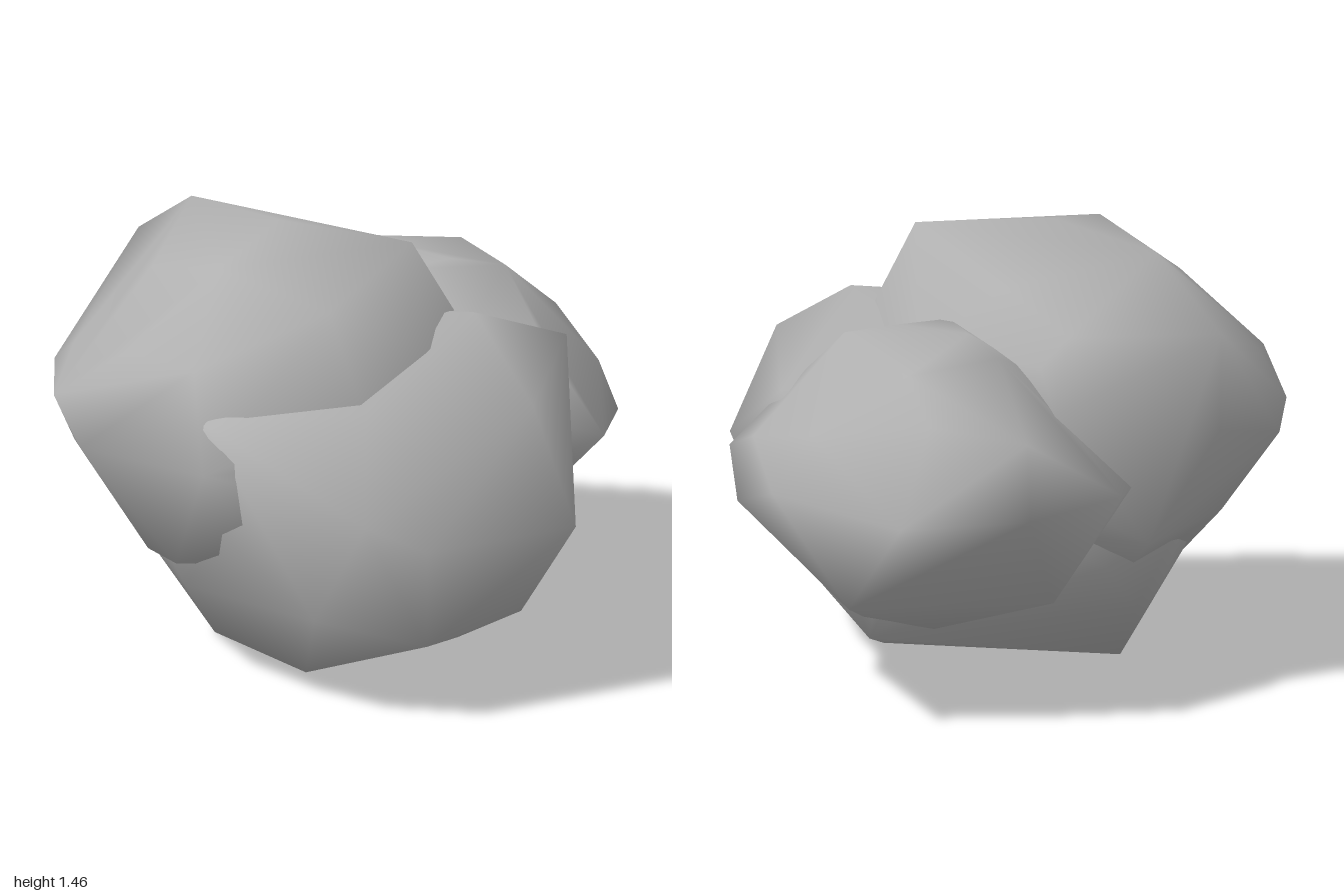
import * as THREE from 'three';
import { mergeVertices } from 'three/addons/utils/BufferGeometryUtils.js';
import { ConvexGeometry } from 'three/addons/geometries/ConvexGeometry.js';

const stone = new THREE.MeshStandardMaterial({ color: 0xb0b0b0 });
stone.name = 'stoneGrey';

// A faceted ellipsoid core with uneven corners pushed out of it.
// Corners are offsets from the centre.
function boulder(name, centre, half, corners) {
  const points = corners.map((c) => new THREE.Vector3(...c));
  const size = new THREE.Vector3(...half);
  const pos = new THREE.IcosahedronGeometry(1, 1).getAttribute('position');
  const seen = new Set();
  for (let i = 0; i < pos.count; i++) {
    const p = new THREE.Vector3().fromBufferAttribute(pos, i);
    const key = p.toArray().map((v) => Math.round(v * 1000)).join();
    if (seen.has(key)) continue;
    seen.add(key);
    points.push(p.multiply(size));
  }

  // Shared corners give a softly shaded surface
  let geometry = new ConvexGeometry(points);
  geometry.deleteAttribute('normal');
  geometry = mergeVertices(geometry, 1e-4);
  geometry.computeVertexNormals();
  const mesh = new THREE.Mesh(geometry, stone);
  mesh.name = name;
  mesh.position.set(...centre);
  return mesh;
}

export function createModel() {
  const group = new THREE.Group();
  group.name = 'boulderCluster';

  // Tall boulder at the back
  group.add(boulder('backBoulder', [-0.25, 0.84, -0.155], [0.66, 0.55, 0.72], [
    // crown
    [0, 0.62, 0], [-0.34, 0.55, 0], [0.15, 0.59, 0.425], [0.1, 0.58, -0.425],
    [-0.3, 0.48, 0.42], [-0.61, 0.3, 0.1], [0.48, 0.37, -0.3], [0.22, 0.37, -0.725],
    // waist
    [0, 0, -0.825], [-0.75, 0, -0.255], [-0.73, 0, 0.225], [-0.62, 0.1, -0.455],
    [-0.23, 0.05, -0.735], [0.23, 0.05, -0.725], [0.61, 0.14, -0.315],
    // underside
    [-0.25, -0.52, -0.345], [-0.57, -0.4, 0], [-0.57, -0.27, 0.34],
    [0.45, -0.3, -0.575], [0.2, -0.5, -0.35],
  ]));

  // Wide low boulder at the front
  group.add(boulder('frontBoulder', [-0.17, 0.605, 0.05], [0.69, 0.55, 0.76], [
    // nose and crown
    [0, 0.015, 0.93], [0.14, 0.605, 0.42], [0, 0.395, 0.76],
    [-0.43, 0.42, 0.4], [0.65, 0.375, 0.42], [-0.76, 0.39, 0],
    // sides
    [-0.6, 0.1, 0.52], [-0.45, 0, 0.66], [-0.65, -0.245, 0.35],
    // underside
    [-0.45, -0.325, 0.66], [0, -0.325, 0.71], [0.05, -0.495, 0.42],
    [-0.42, -0.535, 0.15], [0.34, -0.525, 0.2], [0.8, -0.375, 0.02],
    [-0.14, -0.605, -0.42], [0.2, -0.335, -0.65],
  ]));

  // Smaller boulder on the left side
  group.add(boulder('sideBoulder', [0.33, 0.73, 0.015], [0.57, 0.41, 0.6], [
    // tips
    [0, 0, 0.715], [0.67, -0.01, -0.245], [0, 0, -0.715], [-0.12, 0, -0.69],
    // crown
    [0, 0.48, 0.1], [-0.17, 0.47, 0], [0, 0.48, -0.155], [0.1, 0.46, 0.245],
    [0.33, 0.41, -0.1], [0.1, 0.44, -0.315], [0.36, 0.24, -0.55], [0.47, 0.29, -0.25],
    // sides and underside
    [0.42, 0, -0.59], [0.38, -0.07, 0.495], [0.5, 0, 0.195], [0.63, -0.31, -0.035],
    [0.24, -0.45, 0.1], [0, -0.45, 0.185], [0.2, -0.47, -0.13], [0.1, -0.36, -0.515],
  ]));

  return group;
}
